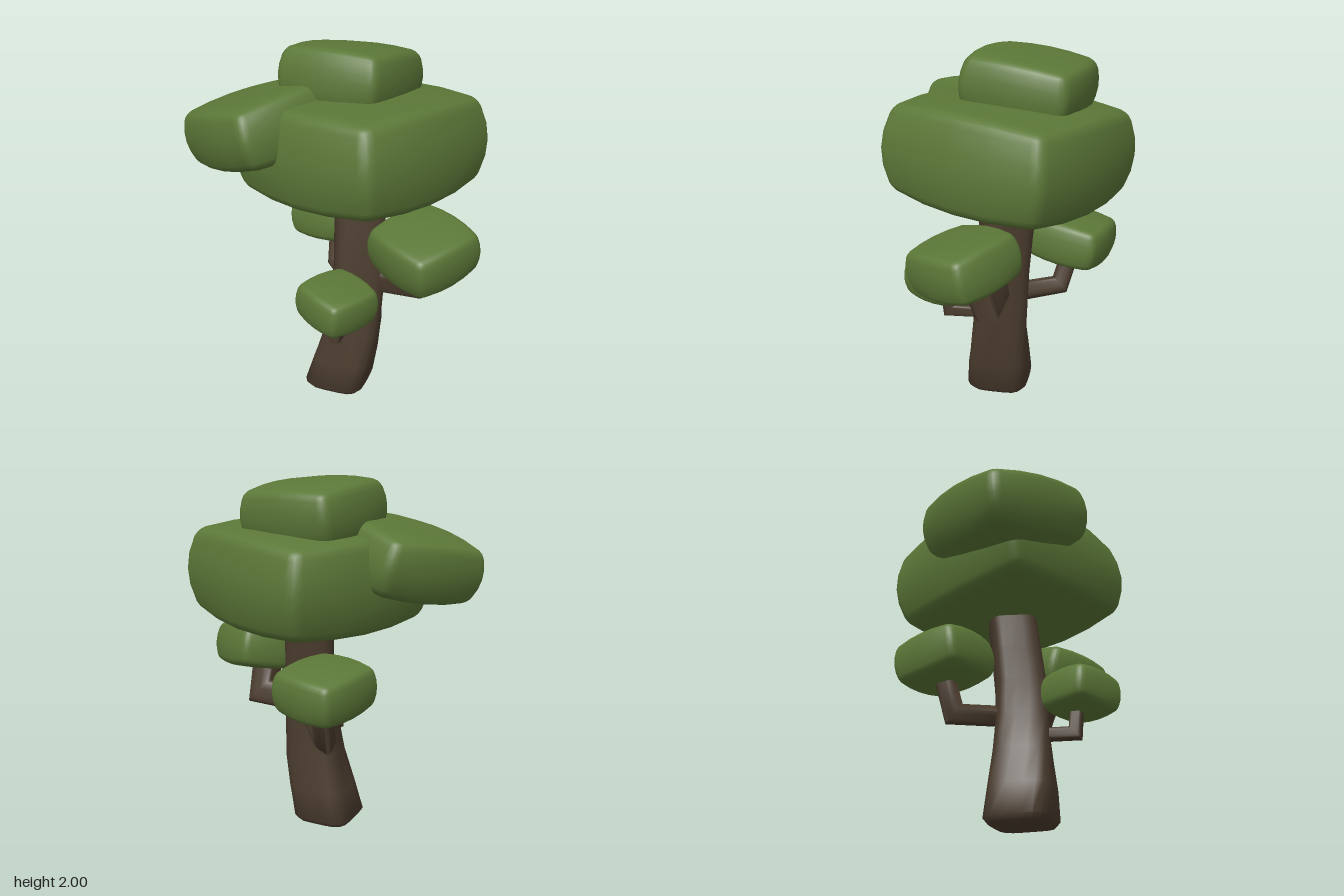
import * as THREE from 'three';
import { mergeVertices, toCreasedNormals } from 'three/addons/utils/BufferGeometryUtils.js';

const UP = new THREE.Vector3(0, 1, 0);
const v3 = (a) => new THREE.Vector3(...a);

// Leaf block: a box with rounded edges and bulging faces, turned by yaw.
function leafGeometry([hx, hy, hz], r, yaw) {
  let geo = new THREE.BoxGeometry(2, 2, 2, 8, 8, 8);
  geo.deleteAttribute('normal');
  geo.deleteAttribute('uv');
  geo = mergeVertices(geo);
  const pos = geo.attributes.position;
  const half = new THREE.Vector3(hx, hy, hz);
  const inner = half.clone().subScalar(r);
  const p = new THREE.Vector3(), c = new THREE.Vector3();
  // pack the grid lines into the rounded rim
  const spread = (t, h) => {
    const k = Math.round(Math.abs(t) * 4);
    return Math.sign(t) * [0, (h - r) * 0.5, h - r, h - r * 0.4, h][k];
  };
  for (let i = 0; i < pos.count; i++) {
    p.set(spread(pos.getX(i), hx), spread(pos.getY(i), hy), spread(pos.getZ(i), hz));
    c.copy(p).clamp(inner.clone().negate(), inner);
    p.sub(c).setLength(r).add(c);
    const x2 = (p.x / hx) ** 2, y2 = (p.y / hy) ** 2, z2 = (p.z / hz) ** 2;
    pos.setXYZ(i,
      p.x * (1 - 0.1 * z2 - 0.09 * y2),
      p.y * (1 - 0.1 * (x2 + z2)),
      p.z * (1 - 0.1 * x2 - 0.09 * y2));
  }
  geo.rotateY(yaw * Math.PI / 180);
  geo.computeVertexNormals();
  return geo;
}

// Wood: rounded-square rings lofted along a path.
// Each ring: at, half width, twist, dir, and an optional mitre (bend, stretch).
function woodGeometry(rings) {
  const corner = [[-30, 1.035], [-12, 1.16], [0, 1.2], [12, 1.16], [30, 1.035]];
  const section = [];
  for (let q = 0; q < 4; q++) {
    for (const [d, k] of corner) section.push([(45 + q * 90 + d) * Math.PI / 180, k]);
  }
  const n = section.length, verts = [], index = [];
  for (const { at, half, twist = 0, dir = UP, bend, stretch = 1 } of rings) {
    const q = new THREE.Quaternion().setFromUnitVectors(UP, dir);
    for (const [a, k] of section) {
      const o = new THREE.Vector3(Math.cos(a - twist), 0, Math.sin(a - twist));
      o.multiplyScalar(half * k).applyQuaternion(q);
      if (bend) o.addScaledVector(bend, o.dot(bend) * (stretch - 1));
      verts.push(...o.add(at).toArray());
    }
  }
  const last = rings.length - 1, foot = rings.length * n, head = foot + 1;
  verts.push(...rings[0].at.toArray(), ...rings[last].at.toArray());
  for (let i = 0; i < n; i++) {
    const k = (i + 1) % n;
    for (let j = 0; j < last; j++) {
      const a = j * n, b = a + n;
      index.push(a + k, a + i, b + i, a + k, b + i, b + k);
    }
    index.push(foot, i, k, head, last * n + k, last * n + i);
  }
  const geo = new THREE.BufferGeometry();
  geo.setAttribute('position', new THREE.Float32BufferAttribute(verts, 3));
  geo.setIndex(index);
  return toCreasedNormals(geo, 1.1);
}

// Branch: start, elbow and tip with a mitred elbow.
function branchGeometry(points, half) {
  const [s, e, t] = points.map(v3);
  const d1 = e.clone().sub(s).normalize(), d2 = t.clone().sub(e).normalize();
  const dir = d1.clone().add(d2).normalize();
  const bend = d2.clone().sub(d1).normalize();
  return woodGeometry([
    { at: s, half, dir: d1 },
    { at: e, half, dir, bend, stretch: 1 / dir.dot(d1) },
    { at: t, half, dir: d2 },
  ]);
}

export function createModel() {
  const group = new THREE.Group();
  const leafGreen = new THREE.MeshStandardMaterial({ color: 0x5c7838 });
  leafGreen.name = 'leafGreen';
  const barkBrown = new THREE.MeshStandardMaterial({ color: 0x4b3c2e });
  barkBrown.name = 'barkBrown';
  const add = (name, geo, mat) => {
    const mesh = new THREE.Mesh(geo, mat);
    mesh.name = name;
    group.add(mesh);
    return mesh;
  };

  // trunk: leans, then straightens, with a slight twist
  const trunk = [
    [0.025, 0, 0.09, 0.155, 0],
    [0.025, 0.03, 0.09, 0.178, 0],
    [0.065, 0.2, 0.085, 0.17, 0.06],
    [0.106, 0.4, 0.075, 0.156, 0.18],
    [0.122, 0.6, 0.065, 0.146, 0.32],
    [0.13, 0.8, 0.055, 0.142, 0.4],
    [0.122, 1.0, 0.035, 0.138, 0.42],
    [0.11, 1.3, 0.002, 0.136, 0.42],
  ];
  add('trunk', woodGeometry(trunk.map(([x, y, z, half, twist]) =>
    ({ at: v3([x, y, z]), half, twist }))), barkBrown);

  // branches
  add('leftBranch', branchGeometry([[0.12, 0.72, 0.06], [0.45, 0.73, 0.07], [0.465, 0.95, 0.15]], 0.073), barkBrown);
  add('backBranch', branchGeometry([[0.08, 0.62, 0], [-0.11, 0.6, -0.245], [-0.12, 0.88, -0.32]], 0.052), barkBrown);
  add('frontBranch', branchGeometry([[0.12, 0.51, 0.1], [0.105, 0.49, 0.37], [0.12, 0.7, 0.385]], 0.035), barkBrown);

  // leaf blocks: name, centre, half sizes, edge radius, yaw, rise along x, rise along z
  const leaves = [
    ['mainCrown', [0.11, 1.475, 0], [0.547, 0.28, 0.547], 0.06, -24, 0.055, 0.06],
    ['topCrown', [0.03, 1.813, -0.085], [0.322, 0.17, 0.32], 0.05, -11, -0.02, 0.13],
    ['rightCrown', [-0.38, 1.575, 0.14], [0.37, 0.18, 0.365], 0.05, -32, 0.28, 0],
    ['leftLeaves', [0.52, 0.99, 0.17], [0.243, 0.14, 0.24], 0.04, -34, 0, -0.2],
    ['backLeaves', [-0.135, 0.908, -0.3], [0.22, 0.135, 0.235], 0.04, -16, 0.04, 0.13],
    ['frontLeaves', [0.12, 0.715, 0.4], [0.182, 0.113, 0.18], 0.035, -30, -0.07, -0.05],
  ];
  for (const [name, at, half, r, yaw, riseX, riseZ] of leaves) {
    const mesh = add(name, leafGeometry(half, r, yaw), leafGreen);
    mesh.position.set(...at);
    mesh.rotation.set(-Math.atan(riseZ), 0, Math.atan(riseX));
  }
  return group;
}
